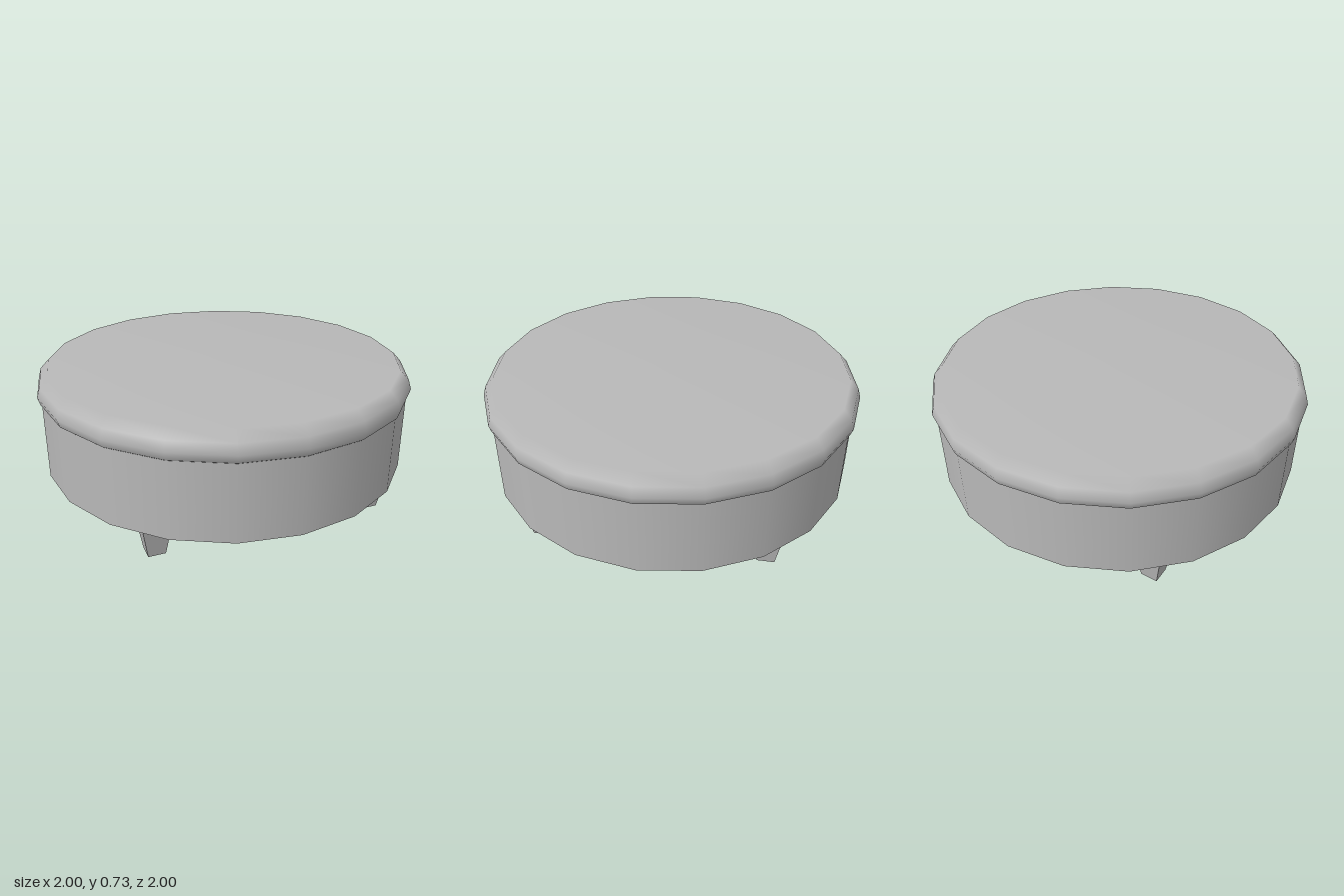
import * as THREE from 'three';

const SIDES = 20;

export function createModel() {
  const model = new THREE.Group();
  const grey = new THREE.MeshStandardMaterial({ color: 0xb8b8b8 });
  grey.name = 'grey';

  const add = (name, geometry, x = 0, y = 0, z = 0) => {
    const mesh = new THREE.Mesh(geometry, grey);
    mesh.name = name;
    mesh.position.set(x, y, z);
    model.add(mesh);
    return mesh;
  };

  // Round upholstered drum
  const bottom = 0.185, seam = 0.59;
  add('body', new THREE.CylinderGeometry(0.98, 0.98, seam - bottom, SIDES), 0, (bottom + seam) / 2, 0);

  // Seat cushion with a rounded, slightly overhanging rim
  const profile = [
    [0.975, 0.58], [0.987, 0.59], [1, 0.63], [0.985, 0.68], [0.94, 0.728], [0, 0.728],
  ].map(([r, y]) => new THREE.Vector2(r, y));
  add('seatCushion', new THREE.LatheGeometry(profile, SIDES));

  // Four square tapered legs
  const legHeight = 0.19;
  const leg = new THREE.CylinderGeometry(0.075 * Math.SQRT2, 0.044 * Math.SQRT2, legHeight, 4)
    .rotateY(Math.PI / 4)
    .toNonIndexed();
  leg.computeVertexNormals();
  for (const x of [-0.59, 0.59]) {
    for (const z of [-0.59, 0.59]) {
      const side = (z > 0 ? 'front' : 'back') + (x > 0 ? 'Left' : 'Right');
      add(side + 'Leg', leg, x, legHeight / 2, z);
    }
  }

  return model;
}
